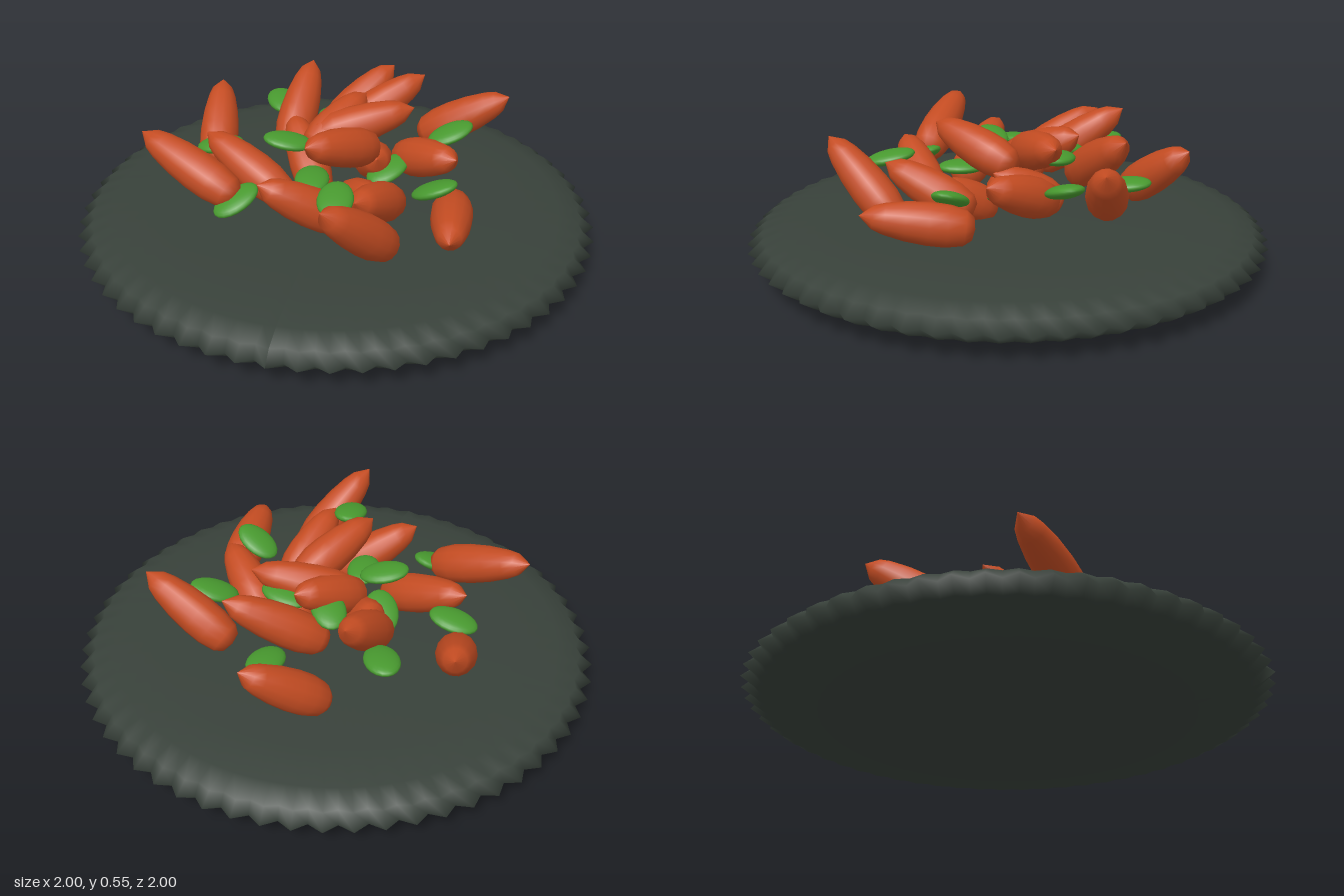
import * as THREE from 'three';

const plateMat = new THREE.MeshStandardMaterial({ color: 0x38413a });
plateMat.name = 'charcoal slate';
const carrotMat = new THREE.MeshStandardMaterial({ color: 0xc44c22 });
carrotMat.name = 'carrot orange';
const leafMat = new THREE.MeshStandardMaterial({ color: 0x48992f });
leafMat.name = 'leaf green';

const V = (a) => new THREE.Vector3(...a);
const lathe = (pts, segments) =>
  new THREE.LatheGeometry(pts.map(([r, y]) => new THREE.Vector2(r, y)), segments);

// Shallow lens-shaped plate; alternate rim vertices are pulled in to make teeth
function makePlate() {
  const teeth = 60;
  const geo = lathe([
    [0, 0], [0.35, 0.01], [0.65, 0.022], [0.85, 0.038], [0.94, 0.062],
    [1, 0.103],
    [0.95, 0.145], [0.86, 0.168], [0.7, 0.183], [0.4, 0.192], [0, 0.195],
  ], teeth * 2);
  const p = geo.attributes.position;
  for (let i = 0; i < p.count; i++) {
    const r = Math.hypot(p.getX(i), p.getZ(i));
    const step = Math.round(Math.atan2(p.getX(i), p.getZ(i)) / Math.PI * teeth);
    if (r > 0.9 && Math.abs(step) % 2 === 1) {
      const k = r > 0.98 ? 0.965 : 0.985;
      p.setX(i, p.getX(i) * k);
      p.setZ(i, p.getZ(i) * k);
    }
  }
  geo.computeVertexNormals();
  const plate = new THREE.Mesh(geo, plateMat);
  plate.name = 'scallopedPlate';
  return plate;
}

// Carrots: blunt base point and pointed tip point
const carrots = [
  [[-0.29, 0.32, 0.35], [-0.69, 0.49, 0.23]],
  [[0.27, 0.29, -0.37], [0.62, 0.51, -0.34]],
  [[-0.06, 0.31, -0.26], [0.27, 0.53, -0.43]],
  [[-0.14, 0.22, -0.47], [0.1, 0.45, -0.68]],
  [[-0.22, 0.3, -0.11], [-0.2, 0.54, -0.45]],
  [[-0.5, 0.23, -0.04], [-0.57, 0.45, -0.37]],
  [[-0.14, 0.25, 0.19], [-0.5, 0.42, 0.05]],
  [[-0.05, 0.2, 0.06], [-0.22, 0.42, -0.18]],
  [[-0.1, 0.36, 0], [0.06, 0.5, -0.27]],
  [[-0.11, 0.39, -0.05], [0.27, 0.5, -0.18]],
  [[0.22, 0.29, -0.17], [0.47, 0.42, 0.06]],
  [[0.14, 0.39, -0.03], [-0.05, 0.52, 0.28]],
  [[0.25, 0.25, 0.12], [0.17, 0.42, 0.45]],
  [[0.29, 0.22, 0.39], [0.1, 0.5, 0.67]],
  [[0.1, 0.23, 0.27], [-0.19, 0.43, 0.42]],
  [[0.47, 0.27, 0.1], [0.51, 0.33, 0.5]],
  [[0.06, 0.2, 0.06], [0.2, 0.34, 0.25]],
  [[0.1, 0.24, -0.2], [0.17, 0.38, 0.05]],
];

// Leaves: centre and direction of the long axis
const leaves = [
  [[-0.31, 0.38, -0.37], [0.5, -0.1, 0.8]],
  [[0.1, 0.32, -0.45], [0.1, 0.1, -1]],
  [[0.41, 0.39, -0.21], [1, 0.4, -0.5]],
  [[0.2, 0.31, -0.01], [0.6, 0.3, -0.8]],
  [[-0.47, 0.34, -0.01], [1, 0.2, 0]],
  [[-0.17, 0.43, 0.07], [1, -0.2, -0.3]],
  [[0.41, 0.36, 0.19], [1, 0.5, 0.3]],
  [[0.1, 0.42, 0.44], [-0.1, 0.2, -1]],
  [[-0.29, 0.32, 0.36], [0.8, 0.5, -0.8]],
  [[-0.05, 0.34, 0.18], [0.2, 0, 1]],
  [[-0.05, 0.42, -0.21], [0.5, 0.2, 0.8]],
  [[0.13, 0.43, -0.19], [1, 0.1, 0.2]],
  [[-0.21, 0.36, -0.08], [0.4, 0.4, 0.8]],
];

export function createModel() {
  const model = new THREE.Group();
  model.name = 'plateOfCarrots';
  model.add(makePlate());

  // Unit-long carrot with a rounded base and a kinked, pointed tip
  const carrotGeo = lathe([
    [0, 0], [0.042, 0.02], [0.064, 0.09], [0.076, 0.24], [0.077, 0.4],
    [0.07, 0.6], [0.056, 0.78], [0.042, 0.88], [0, 1],
  ], 14);
  const up = new THREE.Vector3(0, 1, 0);
  carrots.forEach(([base, tip], i) => {
    const carrot = new THREE.Mesh(carrotGeo, carrotMat);
    const axis = V(tip).sub(V(base));
    carrot.name = `carrot${i + 1}`;
    carrot.position.copy(V(base));
    carrot.scale.y = axis.length();
    carrot.quaternion.setFromUnitVectors(up, axis.normalize());
    model.add(carrot);
  });

  // Flattened oval leaves, long axis along z and thin axis along y
  const leafGeo = new THREE.SphereGeometry(1, 20, 12).scale(0.065, 0.026, 0.095);
  leaves.forEach(([centre, dir], i) => {
    const leaf = new THREE.Mesh(leafGeo, leafMat);
    leaf.name = `leaf${i + 1}`;
    leaf.position.copy(V(centre));
    leaf.lookAt(V(centre).add(V(dir)));
    model.add(leaf);
  });
  return model;
}
